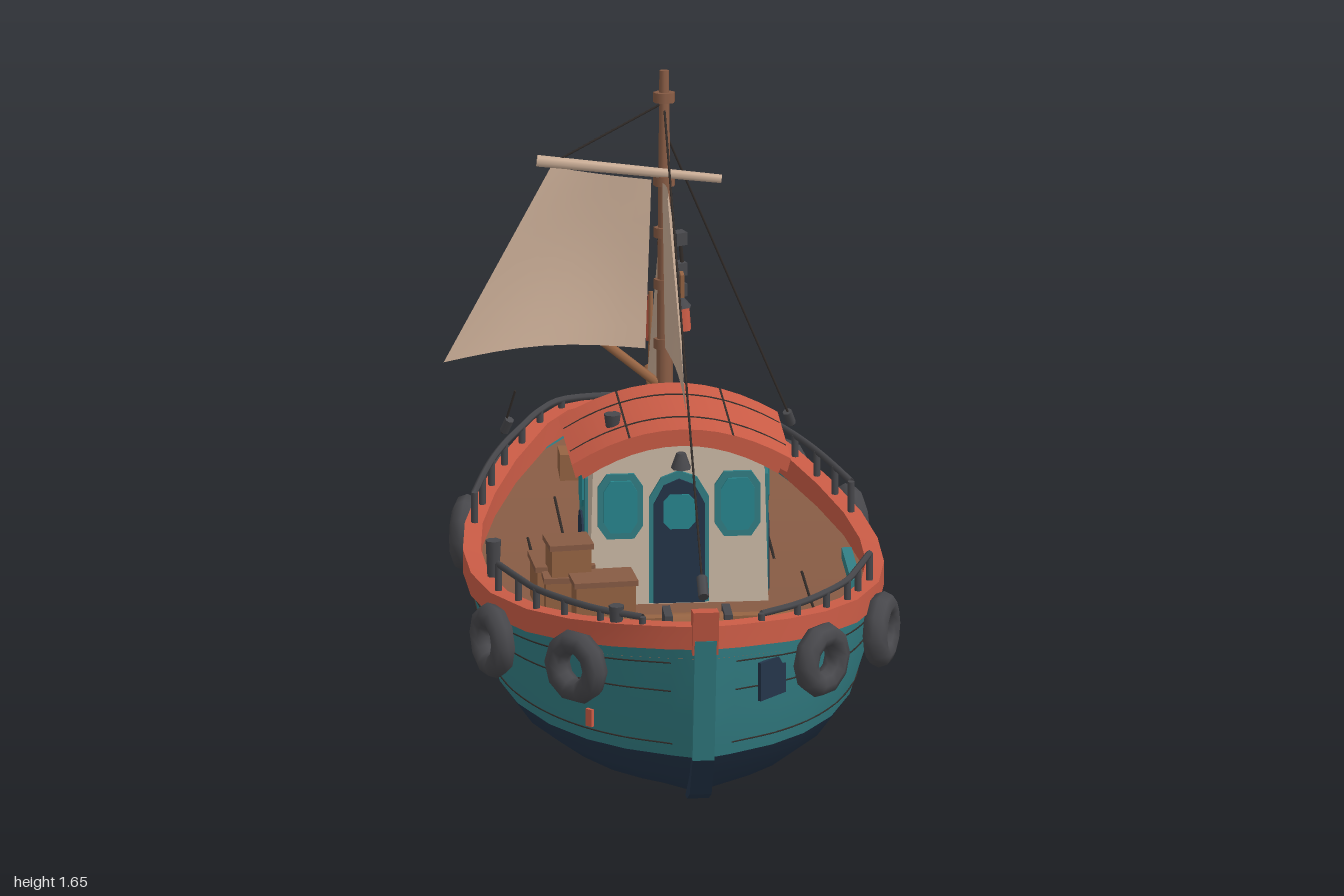
import * as THREE from 'three';
import { toCreasedNormals } from 'three/addons/utils/BufferGeometryUtils.js';

const V = (x, y, z) => new THREE.Vector3(x, y, z);
const paint = (name, color) => {
  const m = new THREE.MeshStandardMaterial({ color, side: THREE.DoubleSide });
  m.name = name;
  return m;
};

// Deck plan: [z, half width] from stern to bow
const PLAN = [[-0.9, 0], [-0.9, 0.13], [-0.875, 0.205], [-0.8, 0.275], [-0.6, 0.375], [-0.4, 0.447], [-0.2, 0.497],
  [0, 0.52], [0.2, 0.518], [0.4, 0.487], [0.6, 0.415], [0.75, 0.322], [0.85, 0.222], [0.93, 0.095], [0.97, 0]];
// Hull levels from keel to gunwale: [y, width factor, length factor]
const LEVELS = [[0.072, 0, 0.77], [0.08, 0.4, 0.78], [0.105, 0.66, 0.82], [0.155, 0.8, 0.88], [0.215, 0.88, 0.93],
  [0.33, 0.95, 0.965], [null, 1, 1]];
const sheer = z => 0.443 + 0.095 * (z / 0.95) ** 2;
const halfAt = z => {
  for (let i = 1; i < PLAN.length; i++) {
    const [z0, w0] = PLAN[i - 1], [z1, w1] = PLAN[i];
    if (z <= z1 && z1 > z0) return w0 + (w1 - w0) * (z - z0) / (z1 - z0);
  }
  return 0;
};
const hullPoint = ([z, hw], level, s) => {
  const [y, w, k] = LEVELS[level];
  return V(s * Math.max(0, hw * w - 0.012), y === null ? sheer(z) + 0.01 : y + 0.02 * z * z, z * k);
};

export function createModel() {
  const boat = new THREE.Group();
  boat.name = 'fishingBoat';
  const teal = paint('teal paint', 0x338086), navy = paint('navy paint', 0x24354a), red = paint('red paint', 0xcb5c46),
    canvas = paint('canvas', 0xcbae97), wall = paint('cream wall', 0xcfbda8), deckWood = paint('deck wood', 0x875b44),
    wood = paint('spar wood', 0x966443), iron = paint('dark iron', 0x48484c), rope = paint('tarred rope', 0x332d2a),
    glass = paint('window teal', 0x288890);

  const add = (name, geo, mat) => {
    const m = new THREE.Mesh(geo, mat);
    m.name = name;
    boat.add(m);
    return m;
  };
  const box = (name, mat, w, h, d, x, y, z, ry = 0) => {
    const m = add(name, new THREE.BoxGeometry(w, h, d), mat);
    m.position.set(x, y, z);
    m.rotation.y = ry;
    return m;
  };
  const rod = (name, mat, a, b, r0, r1 = r0, sides = 7) => {
    const m = add(name, new THREE.CylinderGeometry(r1, r0, a.distanceTo(b), sides), mat);
    m.position.copy(a).lerp(b, 0.5);
    m.quaternion.setFromUnitVectors(V(0, 1, 0), b.clone().sub(a).normalize());
    return m;
  };
  const line = (name, a, b) => rod(name, rope, a, b, 0.003, 0.003, 5);
  const tube = (name, mat, pts, r) =>
    add(name, new THREE.TubeGeometry(new THREE.CatmullRomCurve3(pts), pts.length * 4, r, 5), mat);
  // Skin over rows of points
  const grid = (name, mat, rows, { closed = false, crease = 0.6 } = {}) => {
    const n = rows[0].length, idx = [], extra = closed ? 0 : 1;
    for (let i = 0; i < rows.length - extra; i++) for (let j = 0; j < n - extra; j++) {
      const i2 = (i + 1) % rows.length, j2 = (j + 1) % n;
      const a = i * n + j, b = i * n + j2, c = i2 * n + j, d = i2 * n + j2;
      idx.push(a, b, c, b, d, c);
    }
    const g = new THREE.BufferGeometry().setFromPoints(rows.flat());
    g.setIndex(idx);
    return add(name, toCreasedNormals(g, crease), mat);
  };
  // Plate of a flat outline, facing +z before turning by ry
  const plate = (name, mat, pts, pos, ry = 0, depth = 0.008) => {
    const s = new THREE.Shape(pts.map(p => new THREE.Vector2(...p)));
    const m = add(name, new THREE.ExtrudeGeometry(s, { depth, bevelEnabled: false }), mat);
    m.position.copy(pos);
    m.rotation.y = ry;
    return m;
  };

  // Hull: teal sides, navy bottom, plank seams
  for (const s of [-1, 1]) {
    const side = (from, to) => PLAN.map(st => {
      const row = [];
      for (let l = to; l >= from; l--) row.push(hullPoint(st, l, s));
      return s > 0 ? row.reverse() : row;
    });
    grid('hullSide', teal, side(4, 6));
    grid('hullBottom', navy, side(0, 4));
    for (const [level, t] of [[4, 0.7], [6, 0.35], [6, 0.75]]) tube('plankSeam', rope, PLAN.slice(3, -1).map(st =>
      hullPoint(st, 5, s).lerp(hullPoint(st, level, s), t)), 0.002);
  }
  grid('deck', deckWood, PLAN.map(([z, w]) =>
    [1, -1].map(s => V(s * Math.max(0, w - 0.02), sheer(z) - 0.025, z))));
  for (const [x, z0, z1] of [[-0.33, -0.3, 0.1], [-0.24, -0.55, -0.2], [0.14, -0.6, -0.3], [0.27, -0.5, -0.1],
    [0.33, 0.0, 0.4], [-0.14, 0.36, 0.7], [0.17, 0.4, 0.65], [0.26, 0.3, 0.58]])
    tube('plankLine', rope, [0, 0.5, 1].map(t => z0 + (z1 - z0) * t).map(z => V(x, sheer(z) - 0.025, z)), 0.004);
  box('sideBoard', teal, 0.025, 0.03, 0.26, 0.445, 0.455, 0.1);

  // Gunwale swept around the plan
  const ring = [...PLAN, ...PLAN.slice(1, -1).reverse().map(([z, w]) => [z, -w])];
  grid('gunwale', red, ring.map(([z, x], i) => {
    const p = ring[(i + ring.length - 1) % ring.length], q = ring[(i + 1) % ring.length];
    const dz = q[0] - p[0], dx = q[1] - p[1], l = Math.hypot(dx, dz);
    const ix = x - 0.045 * dz / l, iz = z + 0.045 * dx / l, y = sheer(z);
    return [V(x, y, z), V(x, y + 0.06, z), V(ix, y + 0.06, iz), V(ix, y, iz)];
  }), { closed: true });

  // Stem, keel and rudder
  const profile = (name, mat, pts, w) =>
    plate(name, mat, pts.map(([z, y]) => [-z, y]), V(-w / 2, 0, 0), Math.PI / 2, w);
  profile('stem', teal, [[0.88, 0.235], [0.92, 0.235], [0.985, 0.57], [0.93, 0.57]], 0.055);
  profile('stemFoot', navy, [[0.72, 0.08], [0.765, 0.085], [0.84, 0.12], [0.92, 0.235], [0.87, 0.235], [0.8, 0.14]], 0.055);
  profile('stemHead', red, [[0.92, 0.53], [0.975, 0.53], [1, 0.65], [0.935, 0.64]], 0.065);
  profile('keel', navy, [[0.75, 0.082], [0.4, 0.07], [-0.35, 0.068], [-0.68, 0.08], [-0.5, 0.1], [0.5, 0.1]], 0.035);
  // Rounded rudder blade: [y, aft z, fore z, half thickness]
  const blade = [[0.24, -0.8, -0.8, 0], [0.24, -0.875, -0.77, 0.035], [0.215, -0.88, -0.755, 0.05], [0.13, -0.86, -0.72, 0.05],
    [0.05, -0.842, -0.742, 0.038], [0.008, -0.828, -0.757, 0.032], [0, -0.79, -0.79, 0]];
  grid('rudder', wood, blade.map(([y, a, f, t]) => Array.from({ length: 9 }, (_, i) => {
    const q = i / 4 * Math.PI;
    return V(Math.sin(q) * t, y, (a + f) / 2 + Math.cos(q) * (f - a) / 2);
  })), { crease: 0.9 });

  // Tyre fenders and hull patches
  for (const s of [-1, 1]) for (const [z, y] of [[0.78, 0.45], [0.455, 0.415], [-0.35, 0.43], [-0.68, 0.445]]) {
    const n = V(0.1, 0, halfAt(z - 0.05) - halfAt(z + 0.05)).normalize();
    const t = add('fender', new THREE.TorusGeometry(0.064, 0.032, 8, 10), iron);
    t.position.set(s * (halfAt(z) + 0.022 * n.x), y, z + 0.02 * n.z);
    t.rotation.y = Math.atan2(s * n.x, n.z);
  }
  box('hullPatch', navy, 0.1, 0.1, 0.009, 0.177, 0.43, 0.862, 0.8);
  box('hullScrape', red, 0.02, 0.045, 0.009, -0.27, 0.3, 0.748, -0.85);

  // Railings with posts
  const railTop = (s, z) => V(s * (halfAt(z) - 0.025), 0.585 + 0.025 * z * z, z);
  const railing = pts => {
    tube('railing', iron, pts, 0.009);
    for (const p of pts) rod('railPost', iron, V(p.x, sheer(p.z) + 0.05, p.z), p, 0.009);
  };
  for (const s of [-1, 1]) railing([0.88, 0.8, 0.7, 0.6, 0.5, 0.38].map(z => railTop(s, z)));
  const quarter = [-0.2, -0.32, -0.44, -0.56, -0.68, -0.79, -0.86];
  railing([...quarter.map(z => railTop(1, z)), V(0, 0.605, -0.88), ...quarter.reverse().map(z => railTop(-1, z))]);

  // Wheelhouse with arched roof
  const arch = (hw, edge, peak) => Array.from({ length: 13 }, (_, i) => {
    const t = i / 6 - 1;
    return [t * hw, peak - (peak - edge) * t * t];
  });
  const front = 0.238;
  plate('wheelhouse', wall, [[0.225, 0.41], ...arch(0.215, 0.79, 0.87).reverse(), [-0.225, 0.41]], V(0, 0, -0.03), 0, front + 0.03);
  const roof = (name, hw, e, p, thick, z, d) => {
    const m = plate(name, red, [...arch(hw, e, p), ...arch(hw - 0.01, e - thick, p - thick).reverse()], V(0, 0, z), 0, d);
    m.geometry = toCreasedNormals(m.geometry, 0.5);
  };
  roof('roofEave', 0.255, 0.805, 0.885, 0.03, -0.035, 0.325);
  roof('roof', 0.275, 0.82, 0.905, 0.035, -0.065, 0.375);
  for (const x of [-0.13, 0.13]) box('roofSeam', rope, 0.005, 0.008, 0.375, x, 0.883, 0.122);
  for (const z of [0.03, 0.21]) tube('roofSeam', rope, arch(0.27, 0.822, 0.905).map(([x, y]) => V(x, y, z)), 0.003);

  // Windows and doors: frame with inset panel
  const octagon = (w, h) => [[-w, -h * 0.6], [-w * 0.6, -h], [w * 0.6, -h], [w, -h * 0.6], [w, h * 0.6], [w * 0.6, h],
    [-w * 0.6, h], [-w, h * 0.6]];
  const door = (w, h) => [[-w, 0], [w, 0], [w, h * 0.8], [w * 0.6, h * 0.95], [0, h], [-w * 0.6, h * 0.95], [-w, h * 0.8]];
  for (const s of [-1, 1]) {
    plate('windowFrame', teal, octagon(0.057, 0.085), V(s * 0.147, 0.685, front));
    plate('windowGlass', glass, octagon(0.042, 0.068), V(s * 0.147, 0.685, front + 0.005));
    const ry = s * Math.PI / 2;
    plate('sideDoorFrame', teal, door(0.075, 0.385), V(s * 0.222, 0.43, 0.1), ry);
    plate('sideDoor', navy, door(0.06, 0.2), V(s * 0.227, 0.43, 0.1), ry);
    plate('sideDoorGlass', glass, octagon(0.05, 0.06), V(s * 0.227, 0.71, 0.1), ry);
  }
  plate('doorFrame', teal, door(0.075, 0.345), V(0, 0.43, front));
  plate('frontDoor', navy, door(0.064, 0.325), V(0, 0.43, front + 0.005));
  plate('doorGlass', glass, octagon(0.04, 0.045), V(0, 0.67, front + 0.009));

  // Aft cabin
  box('aftCabin', wall, 0.32, 0.26, 0.23, 0.065, 0.54, -0.13);
  box('aftRoof', iron, 0.36, 0.025, 0.24, 0.065, 0.68, -0.145);
  for (const [x, z, l] of [[0.1, -0.13, 0.2], [0.05, -0.17, 0.16], [0.14, -0.21, 0.14]])
    box('roofPlank', deckWood, l, 0.018, 0.028, x, 0.7, z, z * 0.6);
  for (const [x, out] of [[0.227, 0.003], [-0.097, -0.003]]) {
    box('aftWindowFrame', teal, 0.008, 0.085, 0.08, x, 0.585, -0.15);
    box('aftWindow', glass, 0.008, 0.06, 0.055, x + out, 0.585, -0.15);
  }

  // Mast, yard, boom and spar
  const mastAt = y => V(0.01 * (y - 0.5), y, -0.17 - 0.133 * (y - 0.71));
  rod('mast', deckWood, mastAt(0.42), mastAt(1.65), 0.026, 0.012, 8);
  for (const y of [0.78, 0.95, 1.1, 1.23, 1.36, 1.57]) rod('mastBand', deckWood, mastAt(y), mastAt(y + 0.025), 0.028);
  rod('yard', canvas, V(-0.31, 1.43, -0.27), V(0.15, 1.38, -0.235), 0.015, 0.011);
  rod('boom', wood, V(0, 0.725, -0.19), V(0.01, 0.728, -0.715), 0.015, 0.012);
  rod('spar', wood, V(0, 0.85, -0.19), V(-0.17, 0.985, -0.215), 0.012);

  // Sails: patch between four corners with a bulge
  const sail = (name, a, b, c, d, bulge, lift) => grid(name, canvas, Array.from({ length: 9 }, (_, i) => {
    const v = i / 8;
    return Array.from({ length: 9 }, (_, j) => {
      const u = j / 8, p = a.clone().lerp(b, u).lerp(d.clone().lerp(c, u), v);
      p.addScaledVector(bulge, Math.sin(Math.PI * u) * (0.3 + 0.7 * Math.sin(Math.PI * v)));
      p.y += lift * v * Math.sin(Math.PI * u);
      return p;
    });
  }), { crease: 1 });
  sail('crossSail', V(-0.275, 1.415, -0.265), V(-0.025, 1.38, -0.245), V(-0.045, 0.955, -0.19), V(-0.55, 0.93, -0.2), V(0, -0.015, -0.02), 0.028);
  sail('foreSail', V(0, 1.38, -0.22), V(0, 1.385, -0.07), V(0, 0.99, 0.45), V(0, 0.97, -0.145), V(0.02, 0.02, 0), 0.01);
  sail('aftSail', V(0, 1.18, -0.325), V(0, 1.17, -0.335), V(0, 0.745, -0.63), V(0, 0.765, -0.265), V(0.015, 0, 0), 0.01);
  box('sailPatch', wood, 0.009, 0.06, 0.035, 0.018, 1.225, 0.125);

  // Rigging
  line('forestay', mastAt(1.56), V(0, 0.67, 0.91));
  rod('stayBlock', iron, V(0, 0.7, 0.87), V(0, 0.665, 0.92), 0.014);
  line('yardLift', mastAt(1.57), V(-0.25, 1.435, -0.268));
  line('backstay', mastAt(1.48), V(0, 1.18, -0.33));
  line('shroud', mastAt(1.5), V(0.365, 0.6, -0.62));
  line('shroudTail', V(-0.335, 0.72, -0.59), V(-0.365, 0.6, -0.62));
  for (const s of [-1, 1]) rod('shroudBlock', iron, V(s * 0.36, 0.605, -0.62), V(s * 0.348, 0.64, -0.605), 0.012);

  // Lantern, pulley blocks and roof fittings
  tube('lanternRope', rope, [V(0.045, 1.24, -0.245), V(0.052, 1.15, -0.245), V(0.05, 1.05, -0.245)], 0.005);
  for (const y of [1.225, 1.145, 1.09]) box('pulley', iron, 0.03, 0.033, 0.03, 0.045, y, -0.245, 0.4);
  rod('lantern', red, V(0.05, 0.985, -0.245), V(0.05, 1.045, -0.245), 0.026, 0.021);
  rod('lanternCap', iron, V(0.05, 1.045, -0.245), V(0.05, 1.07, -0.245), 0.026, 0.006);
  rod('roofLamp', iron, V(0, 0.8, 0.3), V(0, 0.84, 0.3), 0.026, 0.012);
  rod('roofVent', iron, V(-0.16, 0.85, 0.17), V(-0.16, 0.905, 0.17), 0.014, 0.022);

  // Flag at the stern
  rod('flagPole', wood, V(0.025, 0.54, -0.805), V(0.03, 0.88, -0.865), 0.008, 0.006);
  profile('flag', red, [[-0.872, 0.87], [-0.93, 0.85], [-1, 0.75], [-0.97, 0.715], [-0.885, 0.765]], 0.006).position.x = 0.028;

  // Bow windlass and deck beam
  box('windlassBase', wood, 0.13, 0.02, 0.18, 0, 0.48, 0.71);
  rod('windlassDrum', wood, V(-0.075, 0.53, 0.74), V(0.075, 0.53, 0.74), 0.035, 0.035, 10);
  for (const x of [-0.075, 0.075]) {
    box('windlassCheek', iron, 0.02, 0.1, 0.09, x, 0.525, 0.75);
    rod('anchorArm', iron, V(x, 0.525, 0.82), V(0, 0.53, 0.87), 0.014);
  }
  box('deckBeam', wood, 0.74, 0.02, 0.03, 0, 0.452, 0.45);

  // Crates
  for (const [x, y, z, w, h, d, r] of [[-0.29, 0.475, 0.19, 0.14, 0.11, 0.13, 0.05], [-0.28, 0.56, 0.27, 0.1, 0.09, 0.09, 0.1],
    [-0.28, 0.47, 0.28, 0.12, 0.1, 0.08, 0], [-0.2, 0.475, 0.34, 0.15, 0.11, 0.1, 0.08]]) {
    box('crate', wood, w, h, d, x, y, z, r);
    box('crateLid', deckWood, w + 0.012, 0.014, d + 0.012, x, y + h / 2, z, r);
  }
  // Stern rope coil, cleats and bollards
  [0.115, 0.09, 0.065].forEach((r, i) => {
    const c = add('ropeCoil', new THREE.TorusGeometry(r, 0.014, 6, 16), deckWood);
    c.position.set(0, 0.49 + i * 0.018, -0.69);
    c.rotation.x = Math.PI / 2;
  });
  rod('capstan', wood, V(0, 0.45, -0.72), V(0, 0.57, -0.72), 0.05, 0.04, 8);
  for (const x of [-0.18, 0.18]) {
    box('cleatBase', wood, 0.075, 0.08, 0.075, x, 0.49, -0.68);
    rod('cleat', wall, V(x, 0.5, -0.68), V(x, 0.54, -0.68), 0.016);
  }
  rod('bollard', iron, V(-0.465, 0.48, 0.24), V(-0.465, 0.605, 0.24), 0.014, 0.02);
  rod('bollard', iron, V(-0.21, 0.55, 0.83), V(-0.21, 0.62, 0.83), 0.014, 0.02);
  return boat;
}
